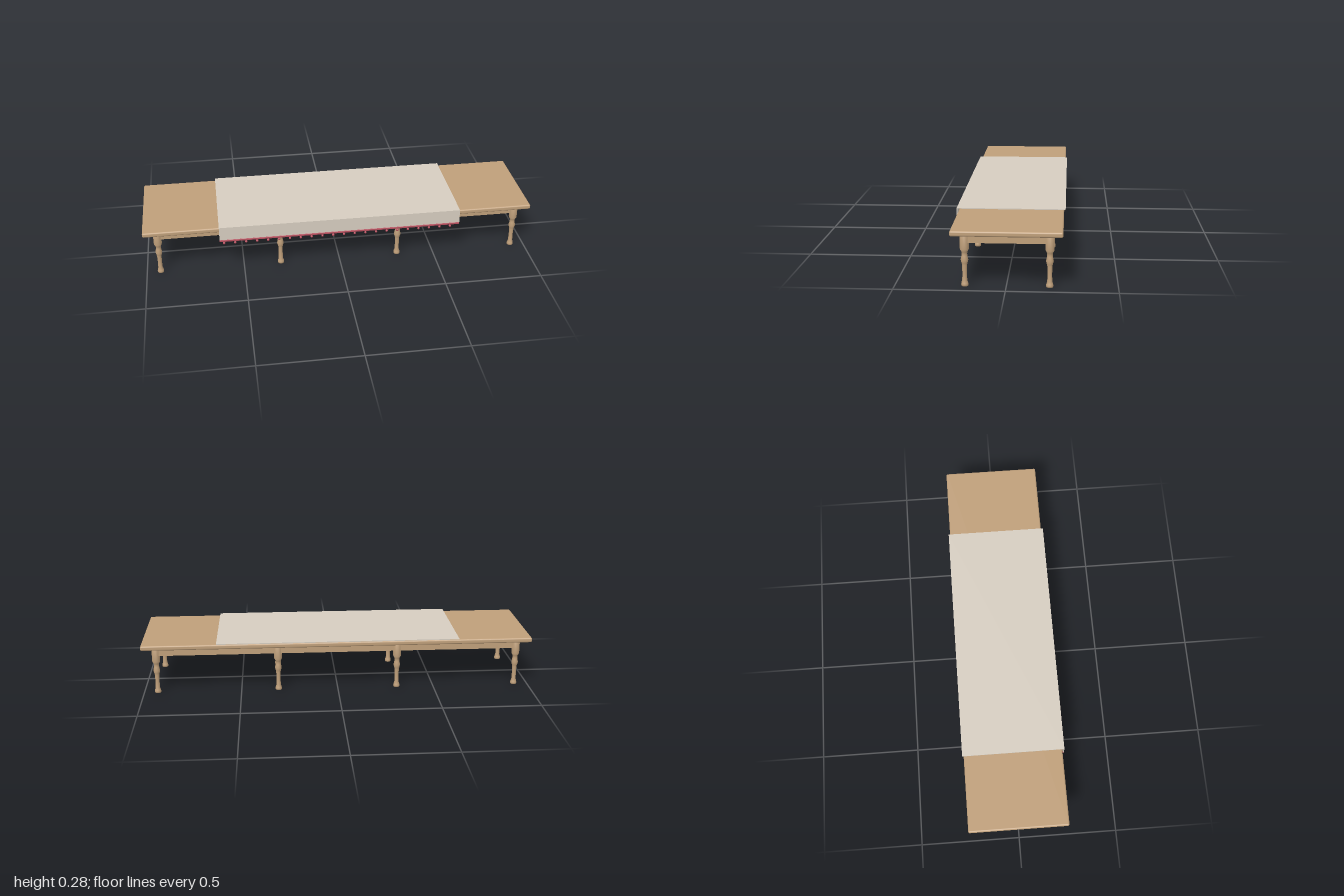
import * as THREE from 'three';
import { RoundedBoxGeometry } from 'three/addons/geometries/RoundedBoxGeometry.js';

export function createModel() {
  const table = new THREE.Group();
  table.name = 'table';

  const wood = new THREE.MeshStandardMaterial({ color: 0xbf9f7a });
  const linen = new THREE.MeshStandardMaterial({ color: 0xd6cdc0 });
  const rose = new THREE.MeshStandardMaterial({ color: 0xb8505f });
  const midZ = -0.004;

  function add(name, geometry, material, x, y, z) {
    const mesh = new THREE.Mesh(geometry, material);
    mesh.name = name;
    mesh.position.set(x, y, z);
    table.add(mesh);
    return mesh;
  }

  // Rounded slab top and the solid apron below it
  add('tableTop', new RoundedBoxGeometry(2, 0.025, 0.498, 3, 0.008), wood, 0, 0.2585, midZ);
  add('apron', new THREE.BoxGeometry(1.884, 0.046, 0.404), wood, 0, 0.225, midZ);

  // Turned legs, four along each long side
  const profile = [
    [0, 0], [0.0155, 0], [0.0165, 0.006], [0.0155, 0.014], [0.0115, 0.026],
    [0.0105, 0.06], [0.0115, 0.098], [0.0135, 0.106], [0.0175, 0.122],
    [0.0135, 0.14], [0.0125, 0.15], [0.014, 0.159], [0.0205, 0.172],
    [0.0205, 0.246], [0, 0.246],
  ].map(([r, y]) => new THREE.Vector2(r, y));
  const legGeometry = new THREE.LatheGeometry(profile, 16);
  for (const x of [-0.93, -0.308, 0.308, 0.93]) {
    for (const side of [-1, 1]) add('leg', legGeometry, wood, x, 0, midZ + side * 0.19);
  }

  // Runner: one folded strip lying on top and hanging over the front
  const fold = new THREE.Shape();
  [[-0.26, 0.274], [0.251, 0.274], [0.251, 0.2], [0.255, 0.2], [0.255, 0.278], [-0.26, 0.278]]
    .forEach(([z, y], i) => (i ? fold.lineTo(-z, y) : fold.moveTo(-z, y)));
  const runnerGeometry = new THREE.ExtrudeGeometry(fold, { depth: 1.238, bevelEnabled: false });
  runnerGeometry.translate(0, 0, -0.619).rotateY(Math.PI / 2);
  add('runner', runnerGeometry, linen, 0, 0, 0);

  // Coloured hem with a row of pompoms
  add('hem', new RoundedBoxGeometry(1.238, 0.012, 0.007, 2, 0.003), rose, 0, 0.201, 0.2535);
  const pompom = new THREE.SphereGeometry(0.0065, 12, 8);
  for (let i = 0; i < 22; i++) add('pompom', pompom, rose, -0.597 + i * 0.0556, 0.188, 0.2545);

  return table;
}
